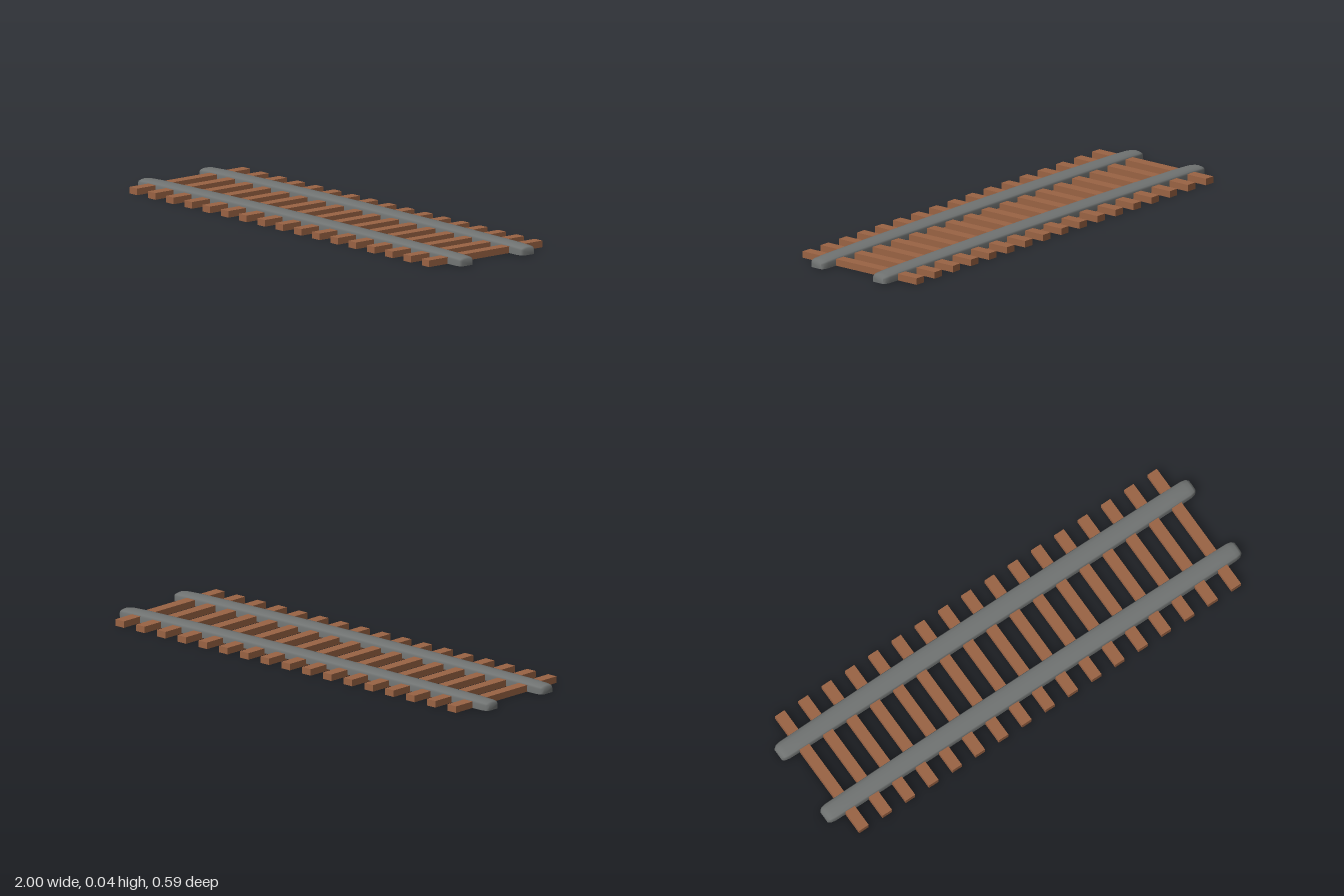
import * as THREE from 'three';

const wood = new THREE.MeshStandardMaterial({ color: 0x9a6344, side: THREE.DoubleSide });
const steel = new THREE.MeshStandardMaterial({ color: 0x707372, side: THREE.DoubleSide });

// Sleeper: a box shell open underneath
function sleeperGeometry() {
  const g = new THREE.BoxGeometry(0.046, 0.027, 0.59);
  const index = Array.from(g.index.array);
  index.splice(18, 6);
  g.setIndex(index);
  g.clearGroups();
  return g.translate(0, 0.0135, 0);
}

// Rail: an arched, open-bottomed shell, slightly bowed and tapered to blunt ends
function railGeometry() {
  // half section, as fractions of half width and height
  const profile = [[-1, 0], [-1, 0.62], [-0.88, 0.82], [-0.5, 0.94], [0, 1],
    [0.5, 0.94], [0.88, 0.82], [1, 0.62], [1, 0]];
  // x, half width, bottom, top
  const half = [[0, 0.042, 0.009, 0.044], [0.3, 0.042, 0.007, 0.0435], [0.6, 0.041, 0.004, 0.042],
    [0.9, 0.039, 0, 0.039], [0.97, 0.038, 0, 0.036], [0.99, 0.034, 0, 0.033], [1, 0.026, 0, 0.028]];
  const mirrored = half.slice(1).reverse().map(([x, ...rest]) => [-x, ...rest]);
  const stations = [...mirrored, ...half];
  const n = profile.length;
  const positions = [];
  const index = [];
  for (const [x, w, bottom, top] of stations) {
    for (const [pz, py] of profile) positions.push(x, bottom + py * (top - bottom), pz * w);
  }
  for (let i = 0; i < stations.length - 1; i++) {
    for (let j = 0; j < n - 1; j++) {
      const a = i * n + j;
      index.push(a, a + 1, a + n, a + n, a + 1, a + n + 1);
    }
  }
  // end caps
  const last = (stations.length - 1) * n;
  for (let j = 1; j < n - 1; j++) {
    index.push(0, j + 1, j, last, last + j, last + j + 1);
  }
  const g = new THREE.BufferGeometry();
  g.setAttribute('position', new THREE.Float32BufferAttribute(positions, 3));
  g.setIndex(index);
  g.computeVertexNormals();
  return g;
}

export function createModel() {
  const track = new THREE.Group();
  track.name = 'railwayTrack';

  // Sleepers
  const sleepers = new THREE.Group();
  sleepers.name = 'sleepers';
  const tie = sleeperGeometry();
  for (let i = 0; i < 17; i++) {
    const mesh = new THREE.Mesh(tie, wood);
    mesh.name = `sleeper${i + 1}`;
    mesh.position.x = -0.9 + i * 0.1125;
    sleepers.add(mesh);
  }
  track.add(sleepers);

  // Rails
  const rail = railGeometry();
  for (const [name, z] of [['frontRail', 0.16], ['backRail', -0.16]]) {
    const mesh = new THREE.Mesh(rail, steel);
    mesh.name = name;
    mesh.position.z = z;
    track.add(mesh);
  }
  return track;
}
